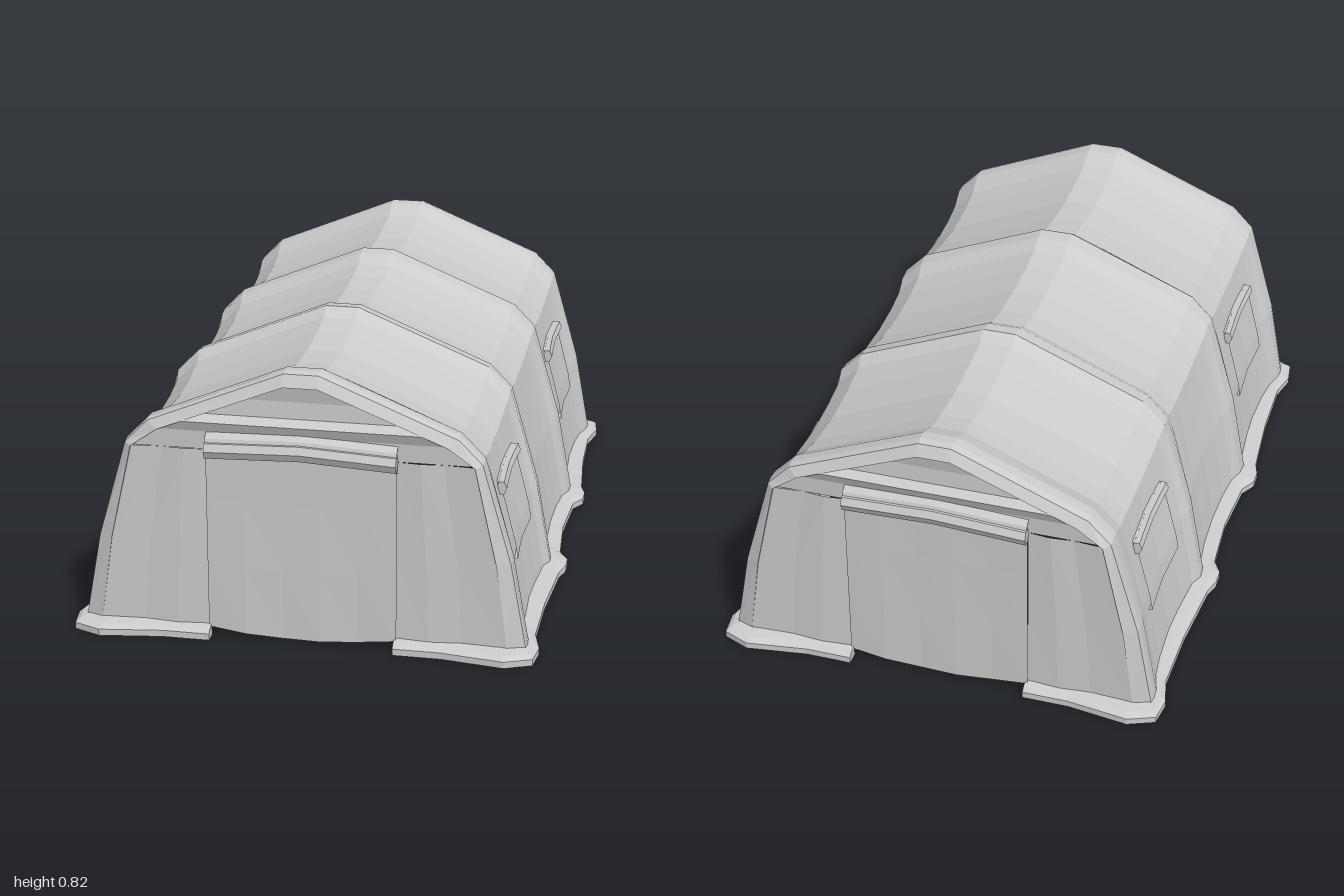
import * as THREE from 'three';

const material = new THREE.MeshStandardMaterial({ color: 0xcccccc, flatShading: true, side: THREE.DoubleSide });
const lerp = THREE.MathUtils.lerp;

// Surface through rows of [x, y, z] points, all rows of equal length
function sheet(name, rows, closed = false) {
  const pos = rows.flat(2), n = rows[0].length, index = [];
  for (let i = 0; i < rows.length - 1; i++) {
    for (let j = 0; j < (closed ? n : n - 1); j++) {
      const a = i * n + j, b = i * n + (j + 1) % n;
      index.push(a, b, a + n, b, b + n, a + n);
    }
  }
  if (closed) { // end caps
    const last = (rows.length - 1) * n;
    for (let j = 1; j < n - 1; j++) index.push(0, j + 1, j, last, last + j, last + j + 1);
  }
  const g = new THREE.BufferGeometry();
  g.setAttribute('position', new THREE.Float32BufferAttribute(pos, 3));
  g.setIndex(index);
  g.computeVertexNormals();
  const mesh = new THREE.Mesh(g, material);
  mesh.name = name;
  return mesh;
}

// Half profiles [x, y] from ground to ridge: over a rib, between ribs, inside the end frame
const RIB = [[0.655, 0.02], [0.605, 0.29], [0.518, 0.59], [0.45, 0.66], [0.05, 0.825]];
const SAG = [[0.622, 0.02], [0.575, 0.28], [0.508, 0.545], [0.44, 0.61], [0.05, 0.778]];
const FRAME = [[0.6, 0.02], [0.562, 0.29], [0.497, 0.58], [0.42, 0.635], [0.05, 0.785]];

// How strongly a rib lifts the fabric at each z (0 = full sag)
const STATIONS = [[0, 0], [0.13, 0.12], [0.22, 0.4], [0.265, 0.9], [0.31, 1], [0.35, 0.5],
  [0.45, 0.2], [0.585, 0], [0.72, 0.15], [0.8, 0.4], [0.865, 0.95], [0.9, 1], [0.922, 0.9]];
const ALL_Z = [...STATIONS.slice(1).reverse().map(([z, s]) => [-z, s]), ...STATIONS];

function lift(z) {
  z = Math.abs(z);
  const i = Math.max(1, STATIONS.findIndex((p) => p[0] >= z));
  const [a, b] = [STATIONS[i - 1], STATIONS[i]];
  return lerp(a[1], b[1], (z - a[0]) / (b[0] - a[0]));
}
const blend = (s) => SAG.map((p, i) => [lerp(p[0], RIB[i][0], s), lerp(p[1], RIB[i][1], s)]);
const arch = (half, z) => [...half.map(([x, y]) => [x, y, z]), ...half.map(([x, y]) => [-x, y, z]).reverse()];

// x on a half profile at height y
function widthAt(half, y) {
  let i = half.findIndex((p) => p[1] >= y);
  if (i < 0) i = half.length - 1;
  i = Math.max(1, i);
  const [a, b] = [half[i - 1], half[i]];
  return lerp(a[0], b[0], (y - a[1]) / (b[1] - a[1]));
}

// Elliptical hexagon section
const hex = (f) => Array.from({ length: 6 }, (_, k) => f(Math.cos(k * Math.PI / 3), Math.sin(k * Math.PI / 3)));

// Window panel and rolled blind following the side wall
function makeWindow(side, zc) {
  const g = new THREE.Group();
  g.name = 'sideWindow';
  const zs = [-0.157, -0.08, 0, 0.08, 0.157].map((d) => zc + d);
  const wall = (y, z) => widthAt(blend(lift(z)), y);
  const edge = [[0.23, 0], [0.23, 0.01], [0.28, 0.01], [0.35, 0.01], [0.465, 0.01], [0.465, 0]];
  g.add(sheet('windowPanel', zs.map((z) => edge.map(([y, off]) => [side * (wall(y, z) + off), y, z]))));
  g.add(sheet('rolledBlind', zs.map((z) => hex((c, s) =>
    [side * (wall(0.447, z) + 0.01 + 0.016 * c), 0.447 + 0.022 * s, z])), true));
  return g;
}

// End frame, walls, gable, door and rolled flap
function makeEnd() {
  const g = new THREE.Group();
  g.name = 'endWall';
  g.add(sheet('endFrame', [arch(blend(0.9), 0.922), arch(FRAME, 0.94), arch(FRAME, 0.924)]));

  // Wall panels beside the door
  for (const side of [1, -1]) {
    g.add(sheet('endPanel', [0.02, 0.29, 0.58].map((y, r) => [0, 0.3, 0.6, 1].map((t, k) =>
      [side * lerp(0.275, widthAt(FRAME, y), t), y, 0.934 - 0.004 * r + (k % 2 ? 0.006 : 0)]))));
  }

  // Gable with a sagging fold of fabric
  const folds = [[0.58, 0.926], [0.635, 0.928], [0.665, 0.94], [0.685, 0.918], [0.735, 0.915], [0.785, 0.924]];
  g.add(sheet('gable', folds.map(([y, z]) => [-1, -0.55, -0.2, 0.2, 0.55, 1].map((u) =>
    [u * widthAt(FRAME, y), y, z]))));

  // Loose hanging door
  g.add(sheet('door', [0, 0.35, 0.7, 1].map((t) => [-1, -0.6, -0.2, 0.2, 0.6, 1].map((u, k) =>
    [u * 0.277, lerp(0.008 + 0.022 * u * u, 0.61, t), 0.938 + 0.004 * (k % 2) * (1 - t)]))));

  // Rolled flap and the strip it hangs from
  const xs = [-0.277, -0.14, 0, 0.14, 0.277];
  const bow = (x) => 0.012 * (1 - Math.abs(x) / 0.277) - 0.012 * x;
  g.add(sheet('rolledFlap', xs.map((x) => hex((c, s) =>
    [x, 0.582 + bow(x) + 0.026 * s, 0.946 + 0.02 * c])), true));
  g.add(sheet('flapStrip', xs.map((x) => [[0.59, 0.952], [0.615, 0.944], [0.632, 0.926]].map(([y, z]) =>
    [x, y + bow(x), z]))));
  return g;
}

// Ground skirt down one side, wrapping both corners: [outer x, z, inner x, z]
function makeSkirt(side) {
  const half = [[0.66, 0, 0.615, 0], [0.672, 0.2, 0.622, 0.2], [0.7, 0.25, 0.64, 0.26], [0.7, 0.3, 0.645, 0.3],
    [0.685, 0.35, 0.635, 0.35], [0.667, 0.585, 0.615, 0.585], [0.664, 0.8, 0.62, 0.8], [0.685, 0.89, 0.64, 0.87],
    [0.675, 0.965, 0.635, 0.915], [0.595, 0.998, 0.58, 0.935], [0.41, 0.972, 0.41, 0.932], [0.27, 0.972, 0.27, 0.932]];
  const path = [...half.slice(1).reverse().map(([a, b, c, d]) => [a, -b, c, -d]), ...half];
  return sheet('groundSkirt', path.map(([ox, oz, ix, iz]) => [[ox, 0, oz], [ox, 0.02, oz],
    [lerp(ox, ix, 0.3), 0.03, lerp(oz, iz, 0.3)], [ix, 0.038, iz], [ix, 0, iz]]
    .map(([x, y, z]) => [side * x, y, z])), true);
}

export function createModel() {
  const model = new THREE.Group();
  model.name = 'tent';
  model.add(sheet('canopy', ALL_Z.map(([z, s]) => arch(blend(s), z))));
  for (const side of [1, -1]) {
    model.add(makeSkirt(side));
    for (const z of [0.585, -0.585]) model.add(makeWindow(side, z));
  }
  const front = makeEnd(), back = makeEnd();
  front.name = 'frontEnd';
  back.name = 'backEnd';
  back.rotation.y = Math.PI;
  model.add(front, back);
  return model;
}
